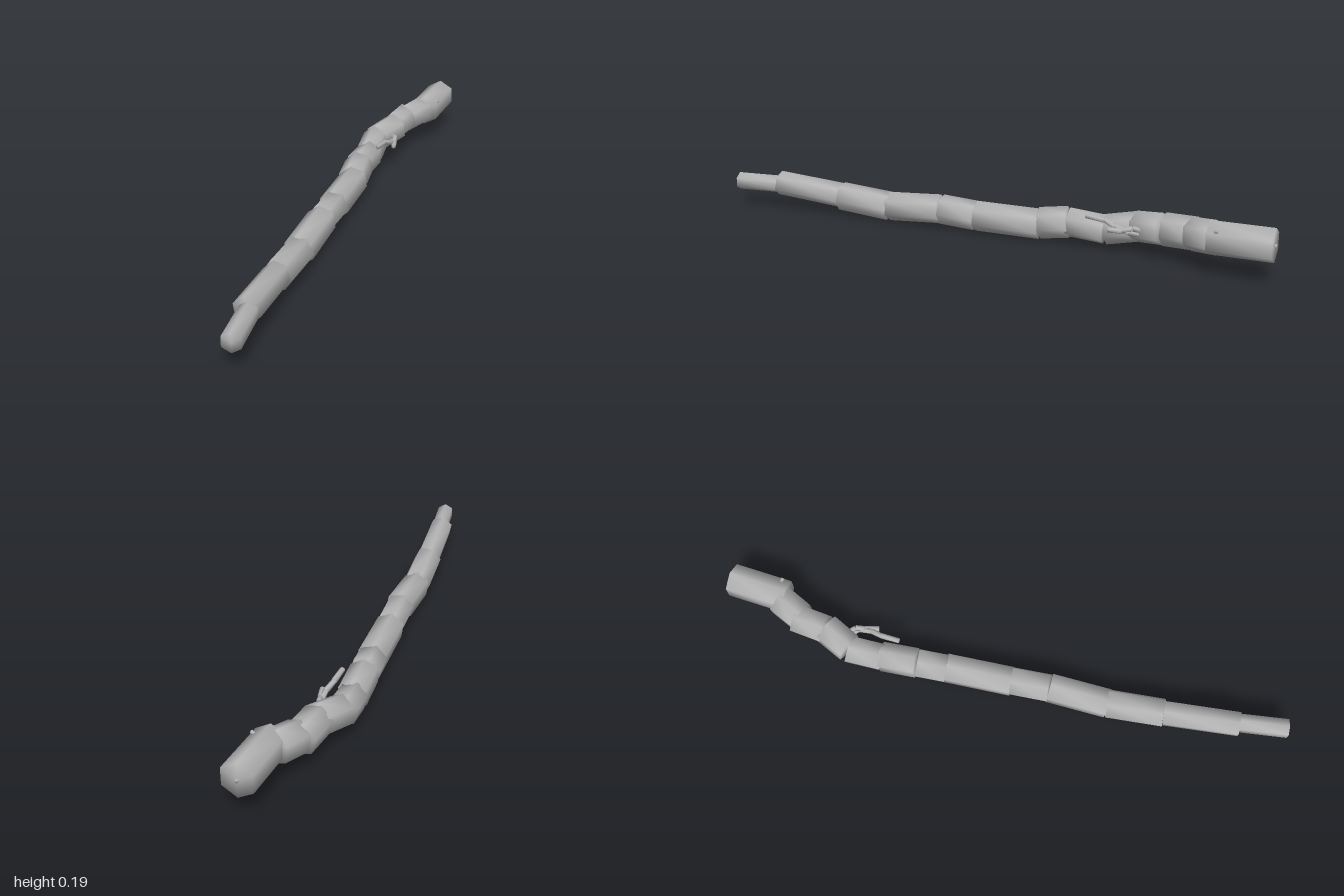
import * as THREE from 'three';
import { mergeVertices } from 'three/addons/utils/BufferGeometryUtils.js';

const V = (p) => new THREE.Vector3(...p);

// Capped prism between two points, with normals shared over sides and caps
function limb(a, b, ra, rb, roll, material, name, sides = 6) {
  const start = V(a), end = V(b);
  const geo = new THREE.CylinderGeometry(rb, ra, start.distanceTo(end), sides);
  geo.deleteAttribute('normal');
  geo.deleteAttribute('uv');
  geo.rotateX(Math.PI / 2); // axis along z, one corner pointing down
  geo.rotateZ(roll);
  const smooth = mergeVertices(geo, 1e-4);
  smooth.computeVertexNormals();
  const mesh = new THREE.Mesh(smooth, material);
  mesh.name = name;
  mesh.position.copy(start).add(end).multiplyScalar(0.5);
  mesh.lookAt(end);
  return mesh;
}

export function createModel() {
  const model = new THREE.Group();
  model.name = 'branch';
  const bark = new THREE.MeshStandardMaterial({ color: 0xb4b4b4 });
  bark.name = 'grey bark';

  // Main stem, thick end to thin end: start, end, radii, roll
  const stem = [
    [[0.072, 0.135, -0.995], [0.053, 0.13, -0.79], 0.058, 0.058, 0],
    [[0.037, 0.125, -0.81], [-0.004, 0.114, -0.725], 0.058, 0.057, 0.1],
    [[-0.012, 0.113, -0.74], [-0.028, 0.11, -0.63], 0.056, 0.056, 0.3],
    [[-0.026, 0.11, -0.63], [-0.072, 0.093, -0.535], 0.056, 0.055, 0],
    [[-0.077, 0.093, -0.54], [-0.072, 0.068, -0.42], 0.052, 0.052, 0.25],
    [[-0.07, 0.069, -0.42], [-0.07, 0.08, -0.292], 0.053, 0.053, 0],
    [[-0.07, 0.08, -0.292], [-0.063, 0.066, -0.19], 0.055, 0.055, 0.3],
    [[-0.06, 0.063, -0.19], [-0.059, 0.065, 0.045], 0.054, 0.054, 0.15],
    [[-0.057, 0.066, 0.045], [-0.057, 0.075, 0.178], 0.053, 0.053, 0.4],
    [[-0.057, 0.075, 0.178], [-0.063, 0.06, 0.385], 0.053, 0.053, 0.1],
    [[-0.063, 0.06, 0.385], [-0.059, 0.078, 0.58], 0.053, 0.052, 0.45],
    [[-0.062, 0.08, 0.58], [-0.052, 0.104, 0.835], 0.046, 0.045, 0.2],
    [[-0.049, 0.1, 0.81], [-0.03, 0.101, 0.998], 0.033, 0.033, 0],
  ];
  stem.forEach(([a, b, ra, rb, roll], i) =>
    model.add(limb(a, b, ra, rb, roll, bark, `stemSegment${i + 1}`)));

  // Forked twig on the side
  const twig = new THREE.Group();
  twig.name = 'twig';
  const paths = [
    [[-0.03, 0.08, -0.56], [0.003, 0.092, -0.52], [0.0, 0.108, -0.47],
      [-0.014, 0.122, -0.43], [-0.02, 0.127, -0.365]],
    [[-0.025, 0.095, -0.56], [0.0, 0.108, -0.53], [0.009, 0.098, -0.495], [0.018, 0.1, -0.45]],
  ];
  paths.forEach((path) => {
    for (let i = 0; i < path.length - 1; i++) {
      twig.add(limb(path[i], path[i + 1], 0.01, 0.009, 0, bark, 'twigSegment'));
    }
  });
  model.add(twig);

  // Small knots on the thick end
  model.add(limb([0.08, 0.158, -0.82], [0.104, 0.168, -0.815], 0.008, 0.006, 0, bark, 'sideKnot'));
  model.add(limb([0.072, 0.135, -0.98], [0.072, 0.135, -1], 0.008, 0.006, 0, bark, 'endKnot'));

  return model;
}
